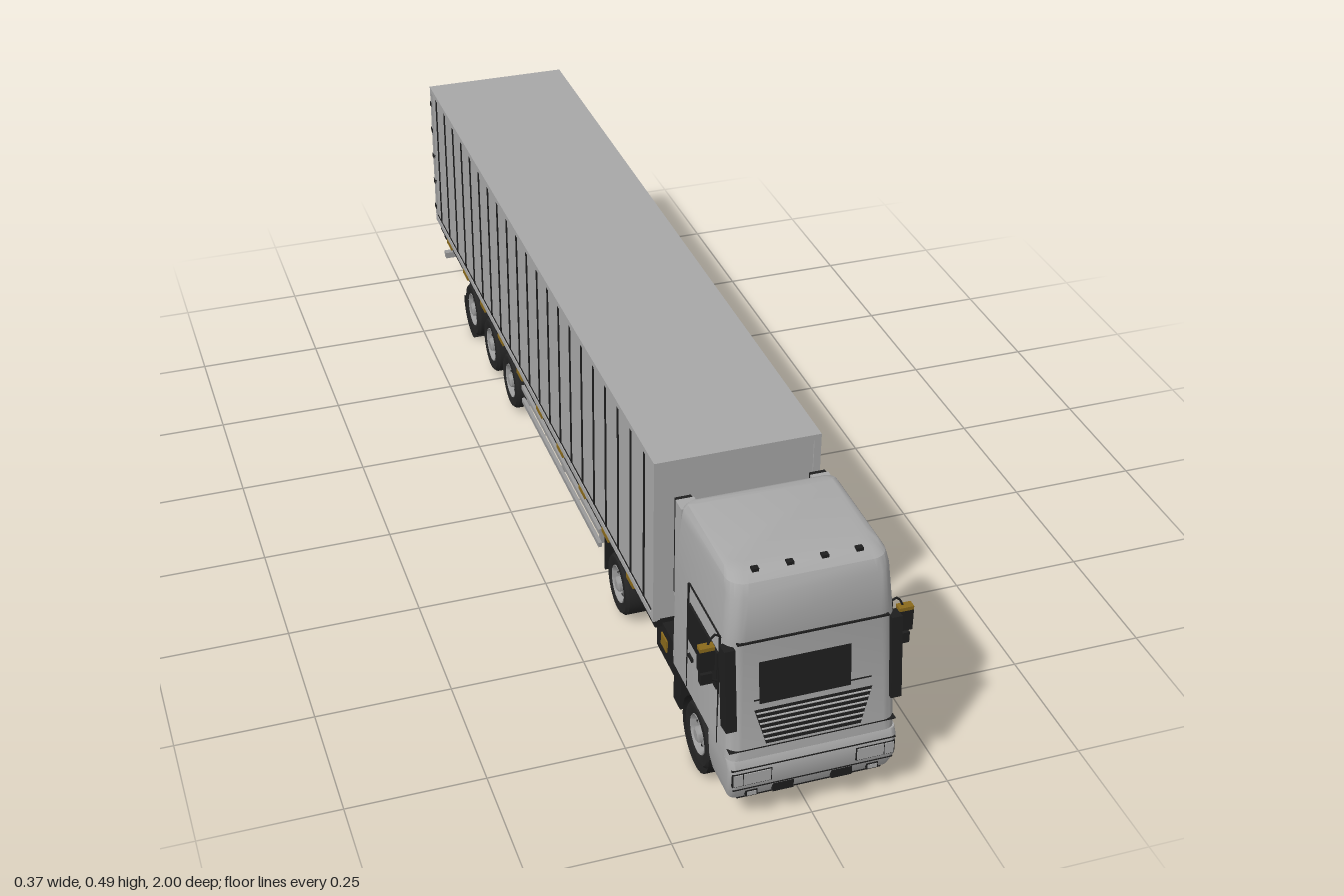
import * as THREE from 'three';
import { toCreasedNormals } from 'three/addons/utils/BufferGeometryUtils.js';

const mat = (name, color, side = THREE.FrontSide) => {
  const m = new THREE.MeshStandardMaterial({ color, side });
  m.name = name;
  return m;
};

export function createModel() {
  const body = mat('body grey', 0xa8a8a8);
  const dark = mat('chassis black', 0x1e1e1e, THREE.DoubleSide);
  const tyre = mat('tyre rubber', 0x242424);
  const metal = mat('wheel metal', 0x9a9a9a, THREE.DoubleSide);
  const amber = mat('amber marker', 0x8a6a1c);
  const pale = mat('pale cable', 0xd8d8d8);

  const truck = new THREE.Group();
  truck.name = 'truck';
  const add = (name, geo, m, x = 0, y = 0, z = 0, parent = truck) => {
    const mesh = new THREE.Mesh(geo, m);
    mesh.name = name;
    mesh.position.set(x, y, z);
    parent.add(mesh);
    return mesh;
  };
  // Box given by its limits on each axis
  const box = (name, m, x0, x1, y0, y1, z0, z1, parent = truck) =>
    add(name, new THREE.BoxGeometry(Math.abs(x1 - x0), y1 - y0, z1 - z0), m,
      (x0 + x1) / 2, (y0 + y1) / 2, (z0 + z1) / 2, parent);
  const sides = (f) => [-1, 1].forEach(f);

  // Skin over horizontal rounded sections: [y, zFront, zBack, halfWidth, frontRadius, backRadius]
  const loft = (sections) => {
    const pos = [], idx = [], n = 7, loop = n * 4;
    for (const [y, zf, zb, w, rf, rb] of sections) {
      const corners = [[w, zb, rb, 1, 1], [-w, zb, rb, -1, 1], [-w, zf, rf, -1, -1], [w, zf, rf, 1, -1]];
      corners.forEach(([x, z, r, sx, sz], c) => {
        for (let k = 0; k < n; k++) {
          const a = (c + k / (n - 1)) * Math.PI / 2;
          pos.push(x - sx * r + r * Math.cos(a), y, z + sz * r - r * Math.sin(a));
        }
      });
    }
    const last = sections.length - 1;
    for (let i = 0; i < last; i++) for (let k = 0; k < loop; k++) {
      const a = i * loop + k, b = i * loop + (k + 1) % loop;
      idx.push(a, b, b + loop, a, b + loop, a + loop);
    }
    for (let k = 1; k < loop - 1; k++) {
      idx.push(0, k + 1, k, last * loop, last * loop + k, last * loop + k + 1);
    }
    const g = new THREE.BufferGeometry();
    g.setAttribute('position', new THREE.Float32BufferAttribute(pos, 3));
    g.setIndex(idx);
    return toCreasedNormals(g, 0.6);
  };

  // Cab shell and bumper
  add('cab', loft([
    [0.13, 0.99, 0.705, 0.15, 0.02, 0.01],
    [0.15, 0.988, 0.705, 0.151, 0.025, 0.01],
    [0.355, 0.965, 0.705, 0.148, 0.028, 0.01],
    [0.365, 0.967, 0.705, 0.147, 0.03, 0.012],
    [0.44, 0.957, 0.705, 0.141, 0.03, 0.015],
    [0.46, 0.946, 0.707, 0.138, 0.03, 0.015],
    [0.469, 0.928, 0.712, 0.132, 0.03, 0.015],
    [0.473, 0.905, 0.72, 0.122, 0.03, 0.015],
  ]), body);
  add('bumper', loft([
    [0.05, 0.985, 0.9, 0.144, 0.012, 0.004],
    [0.075, 0.996, 0.895, 0.149, 0.012, 0.004],
    [0.118, 0.998, 0.89, 0.15, 0.012, 0.004],
    [0.132, 0.99, 0.89, 0.15, 0.012, 0.004],
  ]), body);
  box('bumperLip', dark, -0.13, 0.13, 0.044, 0.052, 0.9, 0.982);
  box('cabFloor', dark, -0.145, 0.145, 0.122, 0.129, 0.71, 0.97);

  // Thin plate lying on the sloping cab front
  const faceZ = (y) => 0.988 - (y - 0.15) * 0.1122 + 0.002;
  const facePlate = (name, m, pts) => {
    const g = new THREE.ShapeGeometry(new THREE.Shape(pts.map(([x, y]) => new THREE.Vector2(x, y))));
    const p = g.attributes.position;
    for (let i = 0; i < p.count; i++) p.setZ(i, faceZ(p.getY(i)));
    g.computeVertexNormals();
    return add(name, g, m);
  };
  facePlate('windscreen', dark, [[-0.095, 0.237], [0.066, 0.237], [0.066, 0.317], [-0.095, 0.317]]);
  facePlate('wiper', dark, [[-0.104, 0.244], [0.102, 0.244], [0.102, 0.247], [-0.104, 0.247]]);
  facePlate('grille', dark, [[-0.084, 0.158], [0.084, 0.158], [0.104, 0.227], [-0.104, 0.227]]);
  for (let i = 0; i < 6; i++) {
    const y = 0.167 + i * 0.0105, w = 0.084 + (y - 0.158) * 0.27;
    box('grilleSlat', body, -w, w, y, y + 0.0015, faceZ(y) - 0.003, faceZ(y) + 0.003);
  }
  box('visorSeam', dark, -0.132, 0.132, 0.356, 0.359, 0.95, 0.969);
  box('panelSeam', dark, -0.148, 0.148, 0.15, 0.152, 0.92, 0.9885);
  box('bumperSeam', dark, -0.146, 0.146, 0.118, 0.12, 0.9, 0.998);
  box('bumperCrease', dark, -0.143, 0.143, 0.075, 0.077, 0.9, 0.997);

  // Lamps, vents, mirrors, doors on each side of the cab
  sides((s) => {
    box('headlampFrame', dark, s * 0.075, s * 0.145, 0.085, 0.112, 0.98, 0.9985);
    box('headlamp', body, s * 0.077, s * 0.125, 0.087, 0.11, 0.98, 1);
    box('turnLamp', body, s * 0.127, s * 0.143, 0.087, 0.11, 0.98, 1);
    box('fogLampFrame', dark, s * 0.098, s * 0.119, 0.056, 0.068, 0.975, 0.9945);
    box('fogLamp', body, s * 0.1, s * 0.117, 0.058, 0.066, 0.975, 0.9955);
    box('bumperVent', dark, s * 0.034, s * 0.071, 0.055, 0.072, 0.975, 0.9955);
    const deflector = box('cornerDeflector', dark, s * 0.136, s * 0.155, 0.195, 0.35, 0.953, 0.98);
    deflector.rotation.x = -0.12;

    box('mirror', dark, s * 0.161, s * 0.187, 0.297, 0.338, 0.93, 0.945);
    box('mirrorCap', amber, s * 0.161, s * 0.187, 0.338, 0.345, 0.93, 0.945);
    box('lowerMirror', dark, s * 0.164, s * 0.184, 0.269, 0.29, 0.93, 0.943);
    const arm = new THREE.CatmullRomCurve3([[0.145, 0.352], [0.158, 0.362], [0.17, 0.345], [0.172, 0.28], [0.145, 0.262]]
      .map(([x, y]) => new THREE.Vector3(s * x, y, 0.935)));
    add('mirrorArm', new THREE.TubeGeometry(arm, 16, 0.002, 6), dark);

    box('sideWindow', dark, s * 0.146, s * 0.1525, 0.243, 0.318, 0.79, 0.93);
    for (const z of [0.784, 0.936]) box('doorSeam', dark, s * 0.146, s * 0.1518, 0.135, 0.355, z - 0.001, z + 0.001);
    box('doorTopSeam', dark, s * 0.145, s * 0.1505, 0.354, 0.356, 0.784, 0.936);
    box('doorHandle', dark, s * 0.148, s * 0.154, 0.21, 0.216, 0.795, 0.815);

    // Air stack, step and flap behind the cab
    box('airStack', body, s * 0.105, s * 0.138, 0.25, 0.45, 0.678, 0.708);
    box('airStackBack', dark, s * 0.107, s * 0.136, 0.252, 0.448, 0.668, 0.678);
    box('frontMudFlap', dark, s * 0.098, s * 0.148, 0.05, 0.15, 0.71, 0.745);
    box('tractorRail', dark, s * 0.038, s * 0.055, 0.09, 0.13, 0.28, 0.95);
  });
  for (let i = 0; i < 4; i++) box('roofLamp', dark, -0.096 + i * 0.06, -0.084 + i * 0.06, 0.466, 0.474, 0.92, 0.93);

  // Fuel tank, battery box, cross-members, coupling
  const tank = add('fuelTank', new THREE.CylinderGeometry(0.034, 0.034, 0.145, 24), metal, 0.1, 0.09, 0.622);
  tank.rotation.x = Math.PI / 2;
  for (const z of [0.58, 0.66]) {
    add('tankStrap', new THREE.CylinderGeometry(0.0355, 0.0355, 0.006, 24), dark, 0.1, 0.09, z).rotation.x = Math.PI / 2;
  }
  box('batteryBox', dark, -0.132, -0.065, 0.06, 0.13, 0.57, 0.69);
  box('batteryLabel', amber, -0.135, -0.13, 0.085, 0.11, 0.6, 0.63);
  for (const z of [0.92, 0.74, 0.56, 0.3]) box('crossMember', dark, -0.05, 0.05, 0.095, 0.12, z - 0.012, z + 0.012);
  box('couplingPlate', dark, -0.07, 0.07, 0.124, 0.138, 0.32, 0.44);

  // Coiled hoses between cab and trailer
  for (const x of [-0.022, 0, 0.022]) {
    const pts = [];
    for (let i = 0; i <= 56; i++) {
      const t = i / 56, a = t * Math.PI * 14;
      pts.push(new THREE.Vector3(x + 0.006 * Math.cos(a),
        0.262 - 0.03 * Math.sin(Math.PI * t) + 0.006 * Math.sin(a), 0.708 - 0.1 * t));
    }
    add('airHose', new THREE.TubeGeometry(new THREE.CatmullRomCurve3(pts), 112, 0.0012, 4), pale);
  }

  // Wheels: revolved tyre and dished rim, hub and bolts
  const revolve = (pts, n = 32) => toCreasedNormals(
    new THREE.LatheGeometry(pts.map(([r, h]) => new THREE.Vector2(r, h)), n), 0.6).rotateZ(-Math.PI / 2);
  const tyreGeo = revolve([[0.036, -0.02], [0.044, -0.024], [0.055, -0.023], [0.06, -0.017], [0.06, 0.017], [0.055, 0.023], [0.044, 0.024], [0.036, 0.02]]);
  const rimGeo = revolve([[0.038, 0.018], [0.036, 0.022], [0.034, 0.02], [0.031, 0.01], [0.024, 0.013], [0.015, 0.013], [0.014, 0.022], [0.01, 0.025], [0, 0.025]]);
  const boltGeo = new THREE.CylinderGeometry(0.0026, 0.0026, 0.003, 8).rotateZ(Math.PI / 2);
  const wheel = (s, x, z) => {
    const g = new THREE.Group();
    g.name = 'wheel';
    g.position.set(s * x, 0.061, z);
    if (s < 0) g.rotation.y = Math.PI;
    add('tyre', tyreGeo, tyre, 0, 0, 0, g);
    add('rim', rimGeo, metal, 0, 0, 0, g);
    add('rimBack', new THREE.CylinderGeometry(0.037, 0.037, 0.012, 24).rotateZ(Math.PI / 2), dark, -0.012, 0, 0, g);
    for (let i = 0; i < 10; i++) {
      const a = i / 10 * Math.PI * 2;
      add('rimHole', boltGeo, dark, 0.012, 0.026 * Math.cos(a), 0.026 * Math.sin(a), g);
    }
    truck.add(g);
  };
  // Curved mudguard over part of a wheel
  const guard = (s, z, from, sweep) => {
    const g = new THREE.CylinderGeometry(0.068, 0.068, 0.055, 14, 1, true, from, sweep).rotateZ(Math.PI / 2);
    add('mudguard', g, dark, s * 0.121, 0.061, z);
  };
  for (const z of [0.828, 0.38, -0.378, -0.536, -0.697]) {
    sides((s) => wheel(s, 0.124, z));
    add('axle', new THREE.CylinderGeometry(0.011, 0.011, 0.22, 12).rotateZ(Math.PI / 2), dark, 0, 0.061, z);
    if (z < 0) sides((s) => box('axleHanger', dark, s * 0.055, s * 0.075, 0.055, 0.11, z - 0.02, z + 0.02));
  }
  sides((s) => {
    wheel(s, 0.095, 0.38);
    guard(s, 0.828, Math.PI * 0.75, Math.PI * 1.25);
    guard(s, -0.697, Math.PI, Math.PI * 0.55);
    box('driveMudFlap', dark, s * 0.08, s * 0.148, 0.045, 0.12, 0.305, 0.309);
  });

  // Trailer body with side ribs, rails and edge trims
  box('trailerBody', body, -0.15, 0.15, 0.145, 0.478, -0.992, 0.606);
  box('trailerRoof', body, -0.153, 0.153, 0.47, 0.481, -0.996, 0.609);
  box('trailerFloor', dark, -0.146, 0.146, 0.122, 0.146, -0.985, 0.6);
  sides((s) => {
    box('bottomRail', body, s * 0.145, s * 0.153, 0.143, 0.156, -0.996, 0.609);
    box('railSeam', dark, s * 0.148, s * 0.1512, 0.156, 0.159, -0.992, 0.606);
    for (const z of [0.604, -0.99]) box('cornerPost', body, s * 0.14, s * 0.153, 0.145, 0.478, z - 0.005, z + 0.005);
    for (let i = 0; i < 21; i++) {
      const z = 0.55 - i * 0.0748;
      box('sideRib', dark, s * 0.149, s * 0.1525, 0.158, 0.47, z - 0.002, z + 0.002);
      if (i % 2) box('sideMarker', amber, s * 0.146, s * 0.154, 0.134, 0.144, z - 0.02, z + 0.02);
    }
    box('trailerBeam', dark, s * 0.05, s * 0.066, 0.085, 0.124, -0.97, 0.56);

    // Side guard rails, equipment box, landing leg
    for (const y of [0.06, 0.092]) box('guardRail', metal, s * 0.136, s * 0.143, y - 0.005, y + 0.005, -0.297, 0.25);
    for (const z of [0.235, -0.02, -0.28]) box('guardPost', metal, s * 0.128, s * 0.136, 0.056, 0.125, z - 0.005, z + 0.005);
    box('equipmentBox', dark, s * 0.09, s * 0.13, 0.078, 0.124, -0.15, 0.11);
    box('landingLeg', dark, s * 0.09, s * 0.106, 0.015, 0.125, 0.284, 0.298);
    box('landingFoot', dark, s * 0.08, s * 0.116, 0.008, 0.015, 0.275, 0.307);

    // Rear underrun supports, lamps and door furniture
    box('underrunPost', dark, s * 0.06, s * 0.07, 0.06, 0.125, -0.968, -0.956);
    box('tailLamp', dark, s * 0.1, s * 0.138, 0.098, 0.12, -0.985, -0.97);
    for (const x of [0.04, 0.09]) {
      box('lockBar', dark, s * (x - 0.0015), s * (x + 0.0015), 0.15, 0.465, -0.998, -0.991);
      box('lockHandle', dark, s * (x - 0.01), s * (x + 0.01), 0.215, 0.222, -0.999, -0.991);
    }
    for (let i = 0; i < 5; i++) box('doorHinge', dark, s * 0.132, s * 0.154, 0.175 + i * 0.065, 0.185 + i * 0.065, -0.998, -0.985);
  });
  for (let i = 0; i < 12; i++) {
    const z = 0.5 - i * 0.13;
    box('floorBearer', dark, -0.14, 0.14, 0.112, 0.124, z - 0.006, z + 0.006);
  }
  box('doorSeam', dark, -0.0015, 0.0015, 0.15, 0.47, -0.994, -0.991);
  box('doorSill', dark, -0.15, 0.15, 0.146, 0.15, -0.998, -0.99);
  box('underrunBar', metal, -0.142, 0.142, 0.054, 0.068, -0.975, -0.96);
  return truck;
}
